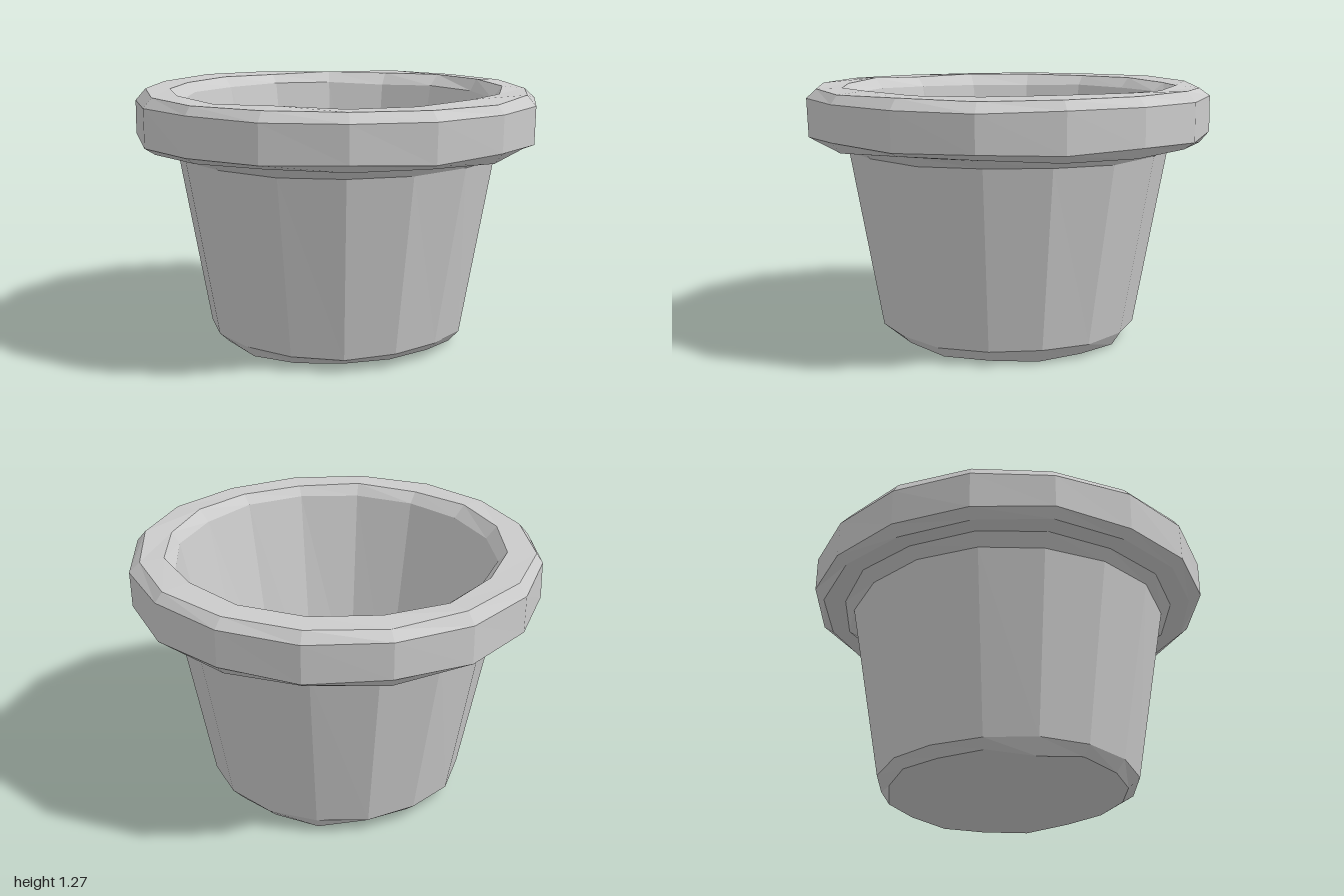
import * as THREE from 'three';

const SIDES = 16;

// Small repeatable random numbers in -1..1
function seeded(seed) {
  let s = seed;
  return () => {
    s = (s * 16807) % 2147483647;
    return (s / 2147483647) * 2 - 1;
  };
}

// Faceted lathe whose corners are nudged for a hand-carved look.
// Profile entries: [radius, y, radius wobble, y wobble]
function carvedLathe(profile, seed) {
  const geo = new THREE.LatheGeometry(profile.map(([r, y]) => new THREE.Vector2(r, y)), SIDES);
  const rand = seeded(seed);
  const nudges = Array.from({ length: SIDES }, () =>
    profile.map(([, , dr, dy]) => [rand() * dr, rand() * dy]));
  const pos = geo.attributes.position;
  for (let i = 0; i <= SIDES; i++) {
    const a = (i / SIDES) * Math.PI * 2;
    profile.forEach(([r, y], j) => {
      const [nr, ny] = nudges[i % SIDES][j];
      pos.setXYZ(i * profile.length + j, (r + nr) * Math.sin(a), y + ny, (r + nr) * Math.cos(a));
    });
  }
  const flat = geo.toNonIndexed();
  flat.computeVertexNormals();
  return flat;
}

export function createModel() {
  const group = new THREE.Group();
  group.name = 'flowerPot';
  const material = new THREE.MeshStandardMaterial({ color: 0xcccccc, flatShading: true });

  const profile = [
    // underside with worn bottom edge
    [0, 0.02, 0, 0],
    [0.585, 0.02, 0.012, 0.018],
    [0.642, 0.072, 0.006, 0.008],
    // tapered outer wall and the neck under the rim
    [0.797, 0.955, 0.005, 0.006],
    [0.85, 1.0, 0.01, 0.006],
    // thick bevelled rim
    [0.945, 1.005, 0.01, 0.012],
    [0.996, 1.04, 0.004, 0.01],
    [0.996, 1.22, 0.004, 0.006],
    [0.955, 1.268, 0.01, 0.008],
    [0.825, 1.27, 0.008, 0.008],
    [0.775, 1.215, 0.008, 0.008],
    // inner wall and floor
    [0.55, 0.1, 0.012, 0],
    [0, 0.1, 0, 0],
  ];

  const pot = new THREE.Mesh(carvedLathe(profile, 71), material);
  pot.name = 'pot';
  group.add(pot);
  return group;
}
